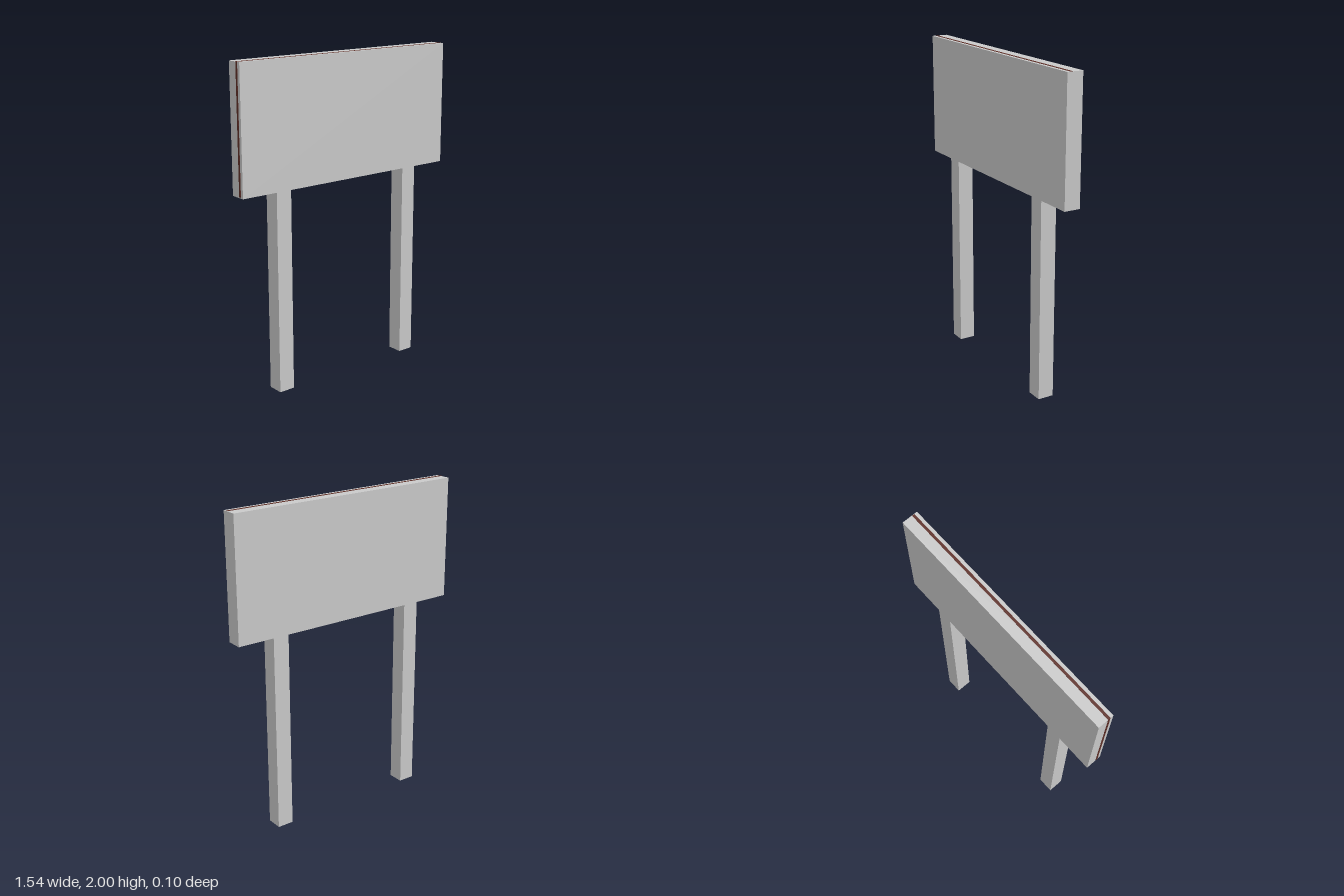
import * as THREE from 'three';

export function createModel() {
  const model = new THREE.Group();
  const grey = new THREE.MeshStandardMaterial({ color: 0xcacaca });
  grey.name = 'light grey';
  const brown = new THREE.MeshStandardMaterial({ color: 0x5f3028 });
  brown.name = 'dark brown';

  // box given by its lower and upper corners
  function box(name, material, [x0, y0, z0], [x1, y1, z1]) {
    const mesh = new THREE.Mesh(new THREE.BoxGeometry(x1 - x0, y1 - y0, z1 - z0), material);
    mesh.position.set((x0 + x1) / 2, (y0 + y1) / 2, (z0 + z1) / 2);
    mesh.name = name;
    model.add(mesh);
  }

  // sign board
  box('board', grey, [-0.769, 1.24, -0.05], [0.77, 1.999, 0.05]);

  // thin core panel, its edge showing along the top and one end
  box('corePanel', brown, [-0.77, 1.245, 0.014], [0.768, 2, 0.03]);

  // two square posts
  for (const side of [-1, 1]) {
    const x = side * 0.487;
    box(side > 0 ? 'leftPost' : 'rightPost', grey, [x - 0.051, 0, -0.05], [x + 0.051, 1.24, 0.05]);
  }
  return model;
}
